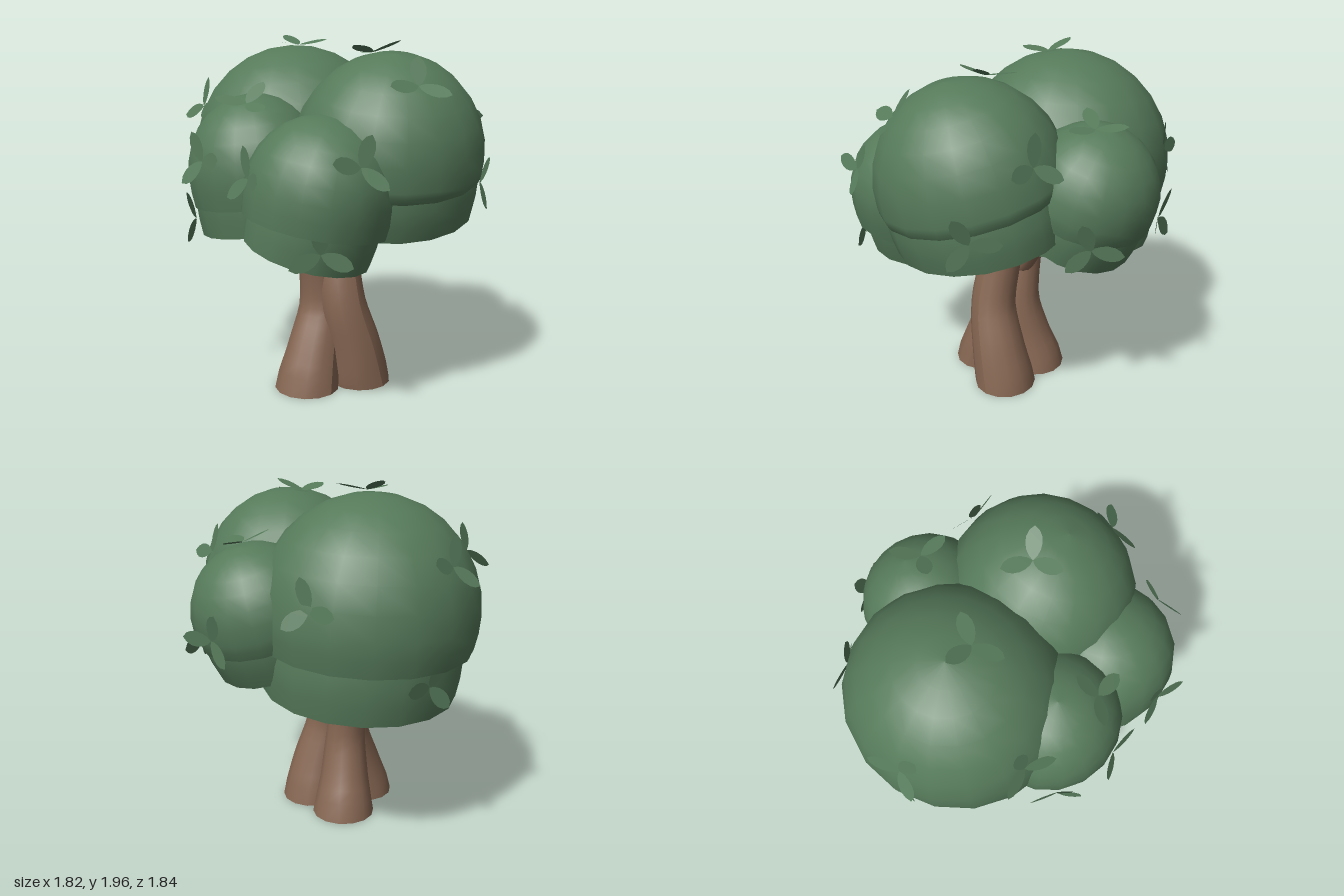
import * as THREE from 'three';

const green = new THREE.MeshStandardMaterial({ color: 0x567a5a, side: THREE.DoubleSide });
const brown = new THREE.MeshStandardMaterial({ color: 0x876753, side: THREE.DoubleSide });
const V = (a) => new THREE.Vector3(...a);

// Open dome: a quarter-circle profile continued downward as a short skirt
function dome(name, center, radii, skirt, tiltX, tiltZ) {
  const pts = [new THREE.Vector2(0.97, -skirt), new THREE.Vector2(0.995, -skirt / 2)];
  for (let i = 0; i <= 7; i++) {
    const a = (i / 7) * Math.PI / 2;
    pts.push(new THREE.Vector2(Math.max(Math.cos(a), 0.0001), Math.sin(a)));
  }
  const mesh = new THREE.Mesh(new THREE.LatheGeometry(pts, 18), green);
  mesh.name = name;
  mesh.position.set(...center);
  mesh.scale.set(...radii);
  mesh.rotation.set(tiltX, 0, tiltZ);
  return mesh;
}

// Tapered limb; each point is [x, y, z, radius]
function limb(name, points, grounded = false) {
  const curve = new THREE.CatmullRomCurve3(points.map((p) => V(p)));
  const rows = 20, sides = 14;
  const geo = new THREE.TubeGeometry(curve, rows, 1, sides, false);
  const pos = geo.attributes.position, v = new THREE.Vector3();
  for (let i = 0; i <= rows; i++) {
    const c = curve.getPointAt(i / rows);
    const f = curve.getUtoTmapping(i / rows) * (points.length - 1);
    const k = Math.min(Math.floor(f), points.length - 2);
    const r = THREE.MathUtils.lerp(points[k][3], points[k + 1][3], f - k);
    for (let j = 0; j <= sides; j++) {
      const n = i * (sides + 1) + j;
      v.fromBufferAttribute(pos, n).sub(c).multiplyScalar(r).add(c);
      if (grounded && i === 0) v.y = 0;
      pos.setXYZ(n, v.x, Math.max(v.y, 0), v.z);
    }
  }
  geo.computeVertexNormals();
  const mesh = new THREE.Mesh(geo, brown);
  mesh.name = name;
  return mesh;
}

// Flat leaf, narrow at the stalk and broad toward the tip
const leafShape = new THREE.Shape();
leafShape.moveTo(0, 0);
leafShape.bezierCurveTo(0.045, 0.03, 0.065, 0.13, 0, 0.165);
leafShape.bezierCurveTo(-0.065, 0.13, -0.045, 0.03, 0, 0);
const leafGeo = new THREE.ShapeGeometry(leafShape, 6);

// Three leaves fanned around a point, facing along the given normal
function sprig(at, normal, spin) {
  const g = new THREE.Group();
  g.name = 'leafSprig';
  for (const a of [0, 1.95, -1.95]) {
    const arm = new THREE.Group();
    arm.rotation.z = a + spin;
    const leaf = new THREE.Mesh(leafGeo, green);
    leaf.name = 'leaf';
    leaf.rotation.x = 0.2;
    arm.add(leaf);
    g.add(arm);
  }
  g.position.copy(at);
  g.lookAt(at.clone().add(normal));
  return g;
}

export function createModel() {
  const tree = new THREE.Group();
  tree.name = 'tree';

  // Trunk of three fused stems
  tree.add(
    limb('frontStem', [[0.01, 0, 0.22, 0.18], [-0.04, 0.22, 0.22, 0.155], [-0.1, 0.48, 0.19, 0.13],
      [-0.08, 0.8, 0.13, 0.115], [-0.06, 1.1, 0.11, 0.1], [-0.05, 1.4, 0.14, 0.06]], true),
    limb('leftStem', [[-0.27, 0, 0.07, 0.185], [-0.21, 0.22, 0.07, 0.15], [-0.14, 0.45, 0.06, 0.125],
      [-0.17, 0.75, 0.06, 0.11], [-0.24, 1, 0.06, 0.075], [-0.42, 1.25, 0.08, 0.04]], true),
    limb('backStem', [[0.01, 0, -0.07, 0.18], [-0.03, 0.22, -0.035, 0.14], [-0.06, 0.45, -0.01, 0.115],
      [-0.06, 0.75, -0.05, 0.105], [-0.02, 1.05, -0.07, 0.085], [0.02, 1.4, -0.15, 0.06]], true),
  );

  // Side branches reaching into the crown
  tree.add(
    limb('sideBranch', [[-0.04, 0.68, 0, 0.065], [0.1, 0.85, 0.03, 0.055], [0.3, 0.98, 0.06, 0.045], [0.55, 1.14, 0.09, 0.03]]),
    limb('backBranch', [[-0.05, 0.72, -0.05, 0.06], [-0.02, 0.88, -0.16, 0.055], [0.02, 1.02, -0.33, 0.045], [0.06, 1.2, -0.55, 0.03]]),
    limb('frontBranch', [[-0.1, 0.8, 0.13, 0.06], [-0.07, 0.95, 0.22, 0.05], [-0.02, 1.2, 0.4, 0.03]]),
    limb('stubBranch', [[-0.03, 0.86, 0.12, 0.03], [0, 0.87, 0.24, 0.035], [-0.02, 0.95, 0.26, 0.03], [-0.04, 0.98, 0.23, 0.015]]),
  );

  // Crown clumps: upper shell, lower shell, then sprig positions
  const clumps = [
    { name: 'back',
      upper: [[0.04, 1.3, -0.3], [0.6, 0.6, 0.58], 0.3, -0.08, 0],
      lower: [[0.05, 1.06, -0.26], [0.55, 0.6, 0.54], 0.34, -0.1, 0],
      sprigs: [[-0.02, 1.89, -0.22], [0, 1.58, -0.82], [0.58, 1.4, -0.47], [-0.48, 1.56, -0.5], [0.1, 1.0, -0.79]] },
    { name: 'front',
      upper: [[-0.02, 1.33, 0.43], [0.52, 0.54, 0.5], 0.12, 0.2, 0.14],
      lower: [[0, 1.2, 0.43], [0.5, 0.5, 0.45], 0.32, 0.17, 0.13],
      sprigs: [[-0.02, 1.85, 0.32], [-0.22, 1.7, 0.76], [0.45, 1.53, 0.54], [0.28, 1.19, 0.8]] },
    { name: 'right',
      upper: [[0.47, 1.28, 0.08], [0.36, 0.37, 0.37], 0.25, 0, -0.33],
      lower: [[0.46, 1.17, 0.08], [0.31, 0.36, 0.34], 0.42, 0, -0.42],
      sprigs: [[0.82, 1.2, 0], [0.53, 1.63, 0.14], [0.66, 1.1, 0.34]] },
    { name: 'leftFront',
      upper: [[-0.47, 1.19, 0.37], [0.39, 0.38, 0.38], 0.42, 0.15, -0.12],
      lower: [[-0.48, 1.06, 0.34], [0.34, 0.36, 0.34], 0.5, 0.25, -0.1],
      sprigs: [[-0.58, 1.35, 0.71], [-0.84, 1.28, 0.26], [-0.7, 0.95, 0.58]] },
    { name: 'leftBack',
      upper: [[-0.43, 1.25, -0.13], [0.37, 0.4, 0.38], 0.4, -0.08, 0.08],
      lower: [[-0.43, 1.12, -0.13], [0.34, 0.36, 0.34], 0.5, -0.1, 0.08],
      sprigs: [[-0.6, 1.6, -0.02], [-0.79, 1.32, -0.14], [-0.65, 0.97, -0.38]] },
  ];
  let count = 0;
  for (const c of clumps) {
    const clump = new THREE.Group();
    clump.name = c.name + 'Clump';
    clump.add(dome('upperFoliage', ...c.upper), dome('lowerFoliage', ...c.lower));
    for (const s of c.sprigs) {
      const at = V(s);
      const normal = at.clone().sub(V(c.upper[0]));
      normal.y = Math.max(normal.y, -0.02);
      normal.normalize();
      clump.add(sprig(at.addScaledVector(normal, 0.01), normal, 0.5 * Math.sin(++count * 2.3)));
    }
    tree.add(clump);
  }
  return tree;
}
